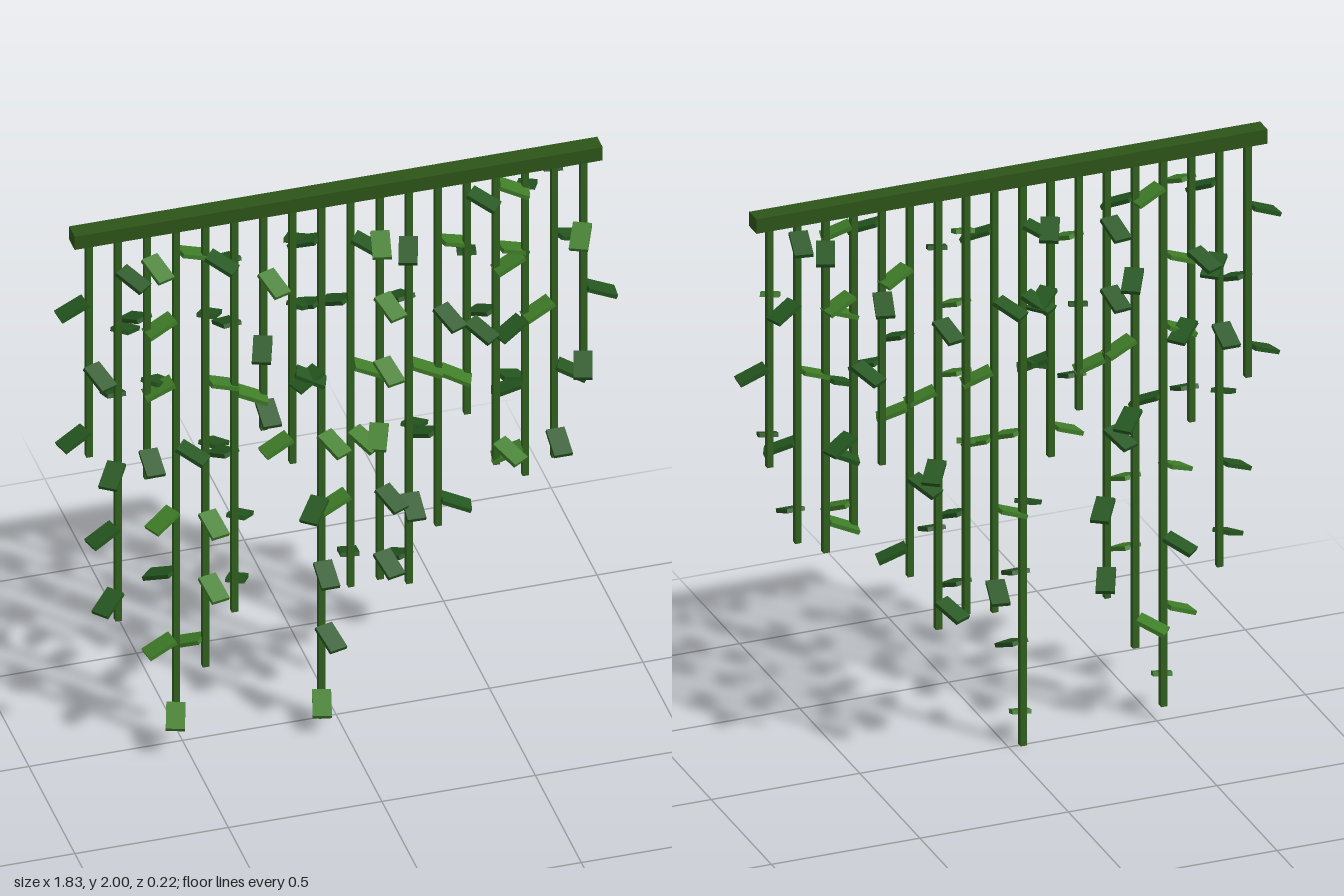
import * as THREE from 'three';

// One entry per strand: lower end, height of the top leaf, leaf headings in degrees
// (0 = +x, 90 = front, 180 = -x, -90 = back), and leaf tones (L light, D dark).
const STRANDS = [
  [1.14, 1.71, [175, 68, 165], 'DDD'],
  [0.50, 1.81, [50, -50, -90, 125, 165, 140], 'DDDDDD'],
  [1.02, 1.84, [70, -115, -40, 90], 'LDDD'],
  [0.05, 1.835, [-10, 170, 180, 40, 155, -135, 172, 108], 'LLLDLDLL'],
  [0.27, 1.81, [40, -60, -8, -45, 78, 78, -142], 'DDLDLLL'],
  [0.46, 1.76, [-98, -98, 12, -115, -55, -65], 'DDLDDD'],
  [1.13, 1.71, [70, 110, 90], 'LDD'],
  [0.985, 1.795, [-65, -40, 20, 170], 'DDDL'],
  [0.0, 1.79, [-140, -130, 160, 62, 130, 90, 75, 105], 'DDDLDDDL'],
  [0.48, 1.785, [35, -130, 10, 55, 172, -80], 'DDLLLD'],
  [0.49, 1.79, [102, 70, 75, 112, 65, 75], 'LLLLDD'],
  [0.455, 1.75, [108, -103, 12, -55, 92, -118], 'DDLDDD'],
  [0.655, 1.71, [-15, 65, 20, -125, 12], 'LDLDD'],
  [1.06, 1.88, [38, -75, 52], 'DDD'],
  [0.85, 1.89, [15, -12, -122, -20, 57], 'LLDDL'],
  [0.79, 1.85, [-68, 172, 160, -165, -170], 'DLDDL'],
  [0.84, 1.90, [-80, -20, 170, 25, 90], 'DDLDD'],
  [1.12, 1.69, [115, 5, 107], 'LDD'],
];

export function createModel() {
  const model = new THREE.Group();
  const paint = (color) => new THREE.MeshStandardMaterial({ color, flatShading: true });
  const barMat = paint(0x2d5518);
  const vineMat = paint(0x31601f);
  const tones = { L: paint(0x3f7d28), D: paint(0x24561f) };

  // Top bar
  const bar = new THREE.Mesh(new THREE.BoxGeometry(1.72, 0.05, 0.06), barMat);
  bar.name = 'topBar';
  bar.position.y = 1.975;
  model.add(bar);

  // Leaf blade reaches outward from the stem
  const leafGeo = new THREE.BoxGeometry(0.1, 0.014, 0.06);

  STRANDS.forEach(([bottom, firstLeaf, headings, shades], i) => {
    const strand = new THREE.Group();
    strand.name = 'hangingVine';
    strand.position.x = -0.805 + i * (1.61 / 17);

    // Stem
    const length = 1.955 - bottom;
    const stem = new THREE.Mesh(new THREE.BoxGeometry(0.021, length, 0.021), vineMat);
    stem.name = 'stem';
    stem.position.y = bottom + length / 2;
    strand.add(stem);

    // Evenly spaced drooping leaves
    headings.forEach((heading, j) => {
      const a = THREE.MathUtils.degToRad(heading);
      const leaf = new THREE.Mesh(leafGeo, tones[shades[j]]);
      leaf.name = 'leaf';
      leaf.rotation.order = 'YXZ';
      leaf.rotation.set(0, -a, -0.4);
      leaf.position.set(0.057 * Math.cos(a), firstLeaf - j * 0.243, 0.057 * Math.sin(a));
      strand.add(leaf);
    });
    model.add(strand);
  });
  return model;
}
